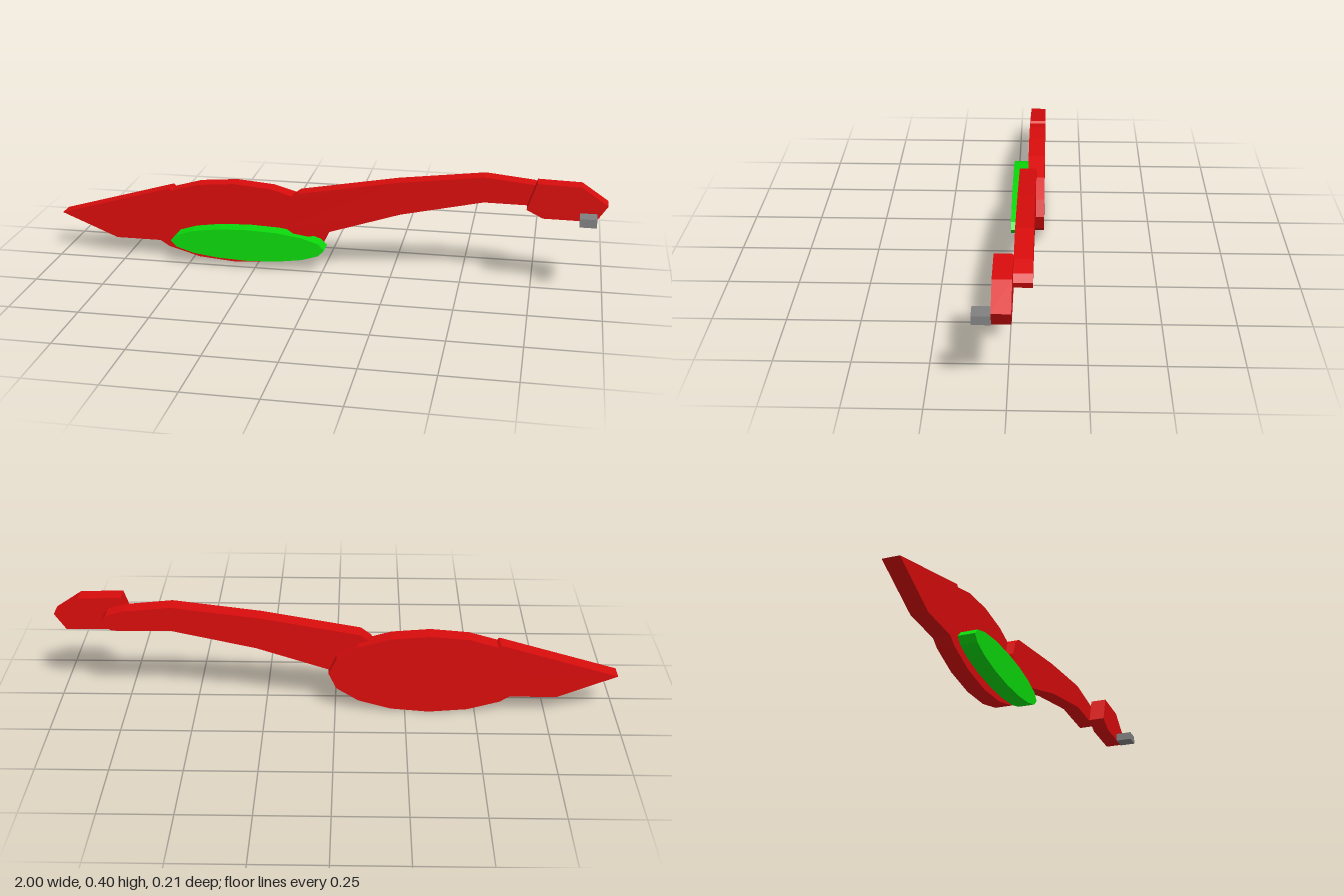
import * as THREE from 'three';

const DEPTH = 0.06;

export function createModel() {
  const group = new THREE.Group();
  const mat = (name, color) => {
    const m = new THREE.MeshStandardMaterial({ color });
    m.name = name;
    return m;
  };
  const red = mat('red', 0xd80c0c);
  const green = mat('green', 0x0cd80c);
  const gray = mat('gray', 0x808080);

  // Flat slab cut from an outline, with its back at zBack
  const slab = (name, points, zBack, material) => {
    const shape = new THREE.Shape(points.map(([x, y]) => new THREE.Vector2(x, y)));
    const geo = new THREE.ExtrudeGeometry(shape, { depth: DEPTH, bevelEnabled: false });
    const mesh = new THREE.Mesh(geo, material);
    mesh.name = name;
    mesh.position.z = zBack;
    group.add(mesh);
  };

  // Sixteen-sided oval outline
  const oval = (cx, cy, rx, ry) => Array.from({ length: 16 }, (_, i) => {
    const a = (i / 16) * Math.PI * 2;
    return [cx + rx * Math.cos(a), cy + ry * Math.sin(a)];
  });

  // Body and pointed tail share one layer
  slab('body', oval(-0.335, 0.152, 0.358, 0.152), -0.105, red);
  slab('tail', [[-1, 0.152], [-0.79, 0.066], [-0.58, 0.066], [-0.45, 0.15], [-0.58, 0.272]], -0.105, red);

  // Wing on the front of the body
  slab('wing', oval(-0.277, 0.091, 0.287, 0.06), -0.045, green);

  // Long curved neck
  slab('neck', [
    [-0.05, 0.13], [0.02, 0.152], [0.28, 0.237], [0.574, 0.302], [0.735, 0.301], [0.785, 0.302],
    [0.812, 0.315], [0.822, 0.337], [0.805, 0.36], [0.745, 0.377], [0.574, 0.394], [0.264, 0.355],
    [-0.09, 0.292], [-0.127, 0.265], [-0.147, 0.212], [-0.138, 0.158], [-0.105, 0.135],
  ], -0.075, red);

  // Head
  slab('head', [
    [0.725, 0.305], [0.782, 0.277], [0.96, 0.276], [1, 0.335],
    [0.908, 0.397], [0.757, 0.401],
  ], -0.015, red);

  // Small block on the front of the head
  const beak = new THREE.Mesh(new THREE.BoxGeometry(0.058, 0.03, DEPTH), gray);
  beak.name = 'beak';
  beak.position.set(0.935, 0.29, 0.075);
  group.add(beak);

  return group;
}
